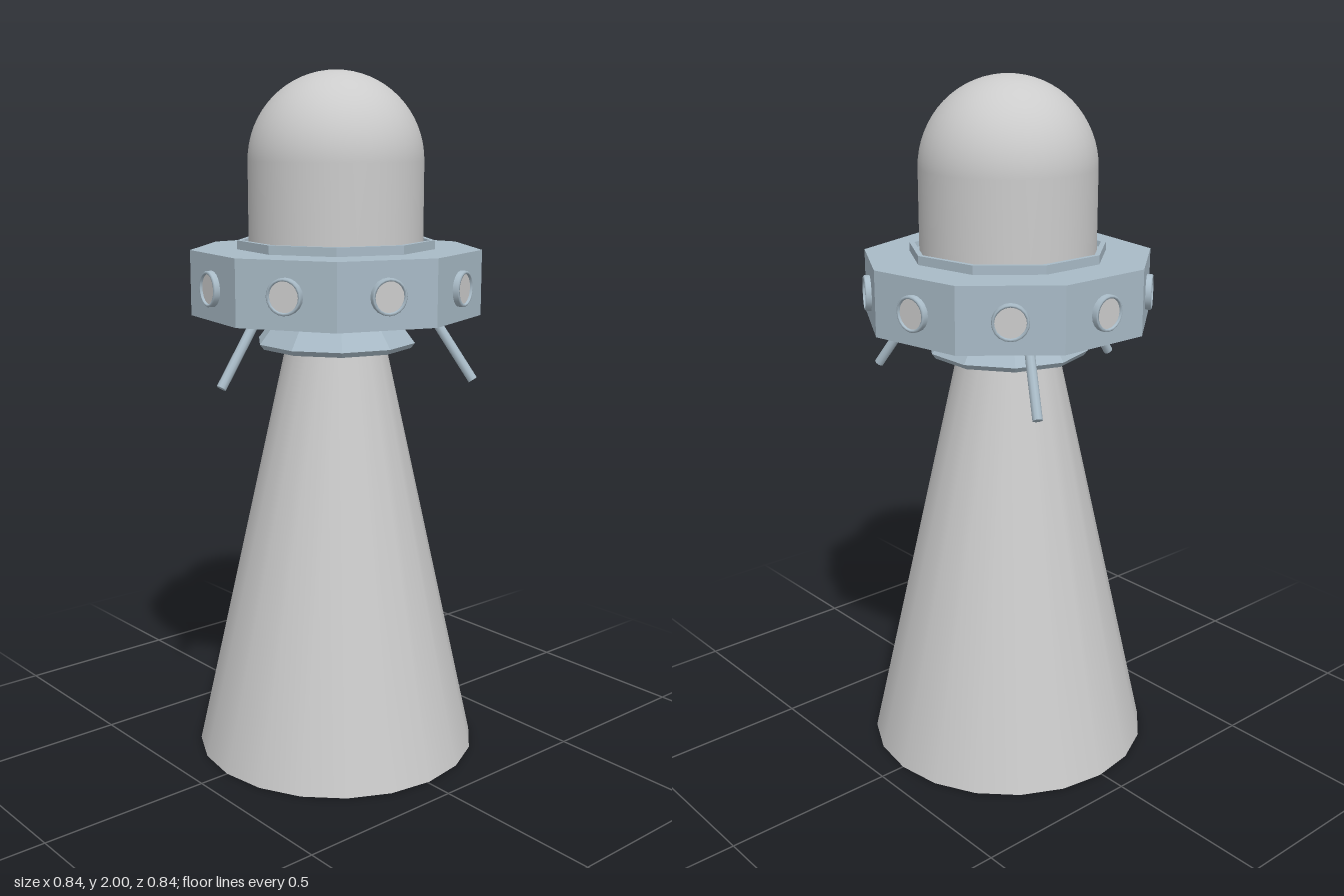
import * as THREE from 'three';

const grey = new THREE.MeshStandardMaterial({ color: 0xcccccc });
const hullMat = new THREE.MeshStandardMaterial({ color: 0xa8bac6, flatShading: true });
const metal = new THREE.MeshStandardMaterial({ color: 0xa8bac6 });

export function createModel() {
  const model = new THREE.Group();
  model.name = 'saucerWithBeam';
  model.position.set(-0.001, 0, -0.007);

  const add = (name, geometry, material, parent = model) => {
    const mesh = new THREE.Mesh(geometry, material);
    mesh.name = name;
    parent.add(mesh);
    return mesh;
  };
  // Profile (radius, height), listed from the underside up, with a corner on +x
  const lathe = (points, sides) => new THREE.LatheGeometry(
    points.map(([r, y]) => new THREE.Vector2(r, y)), sides, Math.PI / 2);

  // Light beam widening to the ground
  const beamTop = 1.265;
  add('beam', new THREE.CylinderGeometry(0.137, 0.417, beamTop, 20), grey)
    .position.y = beamTop / 2;

  // Nine-sided hull
  add('hull', new THREE.CylinderGeometry(0.418, 0.418, 0.185, 9, 1, false, Math.PI / 2), hullMat)
    .position.y = 1.4125;

  // Raised collar with a shallow recess around the dome
  add('collar', lathe([[0.285, 1.5], [0.285, 1.53], [0.27, 1.53], [0.266, 1.515], [0.2, 1.515]], 9), hullMat);

  // Emitter skirt under the hull, hollow below
  add('emitter', lathe([[0, 1.26], [0.172, 1.26], [0.176, 1.222], [0.222, 1.222],
    [0.234, 1.237], [0.165, 1.325]], 10), hullMat);

  // Dome: straight wall topped by a hemisphere
  const dome = [[0.25, 1.5]];
  for (let i = 0; i <= 16; i++) {
    const a = (i / 16) * Math.PI / 2;
    dome.push([0.25 * Math.cos(a), 1.75 + 0.25 * Math.sin(a)]);
  }
  add('dome', lathe(dome, 40), grey);

  // One porthole in the middle of each hull face
  for (let i = 0; i < 9; i++) {
    const a = ((20 + 40 * i) * Math.PI) / 180;
    const porthole = new THREE.Group();
    porthole.name = 'porthole';
    porthole.position.set(0.393 * Math.cos(a), 1.41, 0.393 * Math.sin(a));
    porthole.rotation.y = Math.PI / 2 - a;
    const frame = lathe([[0.05, -0.01], [0.05, 0.014], [0.047, 0.017], [0.042, 0.017], [0.042, 0.008]], 20);
    add('portholeFrame', frame.rotateX(Math.PI / 2), metal, porthole);
    add('portholeGlass', new THREE.CircleGeometry(0.044, 20), grey, porthole).position.z = 0.01;
    model.add(porthole);
  }

  // Three splayed landing legs
  const top = new THREE.Vector3(0, 1.34, 0.277);
  const foot = new THREE.Vector3(0, 1.145, 0.411);
  const slope = foot.clone().sub(top);
  for (let i = 0; i < 3; i++) {
    const pivot = new THREE.Group();
    pivot.name = 'leg';
    pivot.rotation.y = (i * 2 * Math.PI) / 3;
    const leg = add('legRod', new THREE.CylinderGeometry(0.014, 0.014, slope.length(), 10), metal, pivot);
    leg.position.copy(top).add(foot).multiplyScalar(0.5);
    leg.quaternion.setFromUnitVectors(new THREE.Vector3(0, -1, 0), slope.clone().normalize());
    model.add(pivot);
  }

  const group = new THREE.Group();
  group.add(model);
  return group;
}
